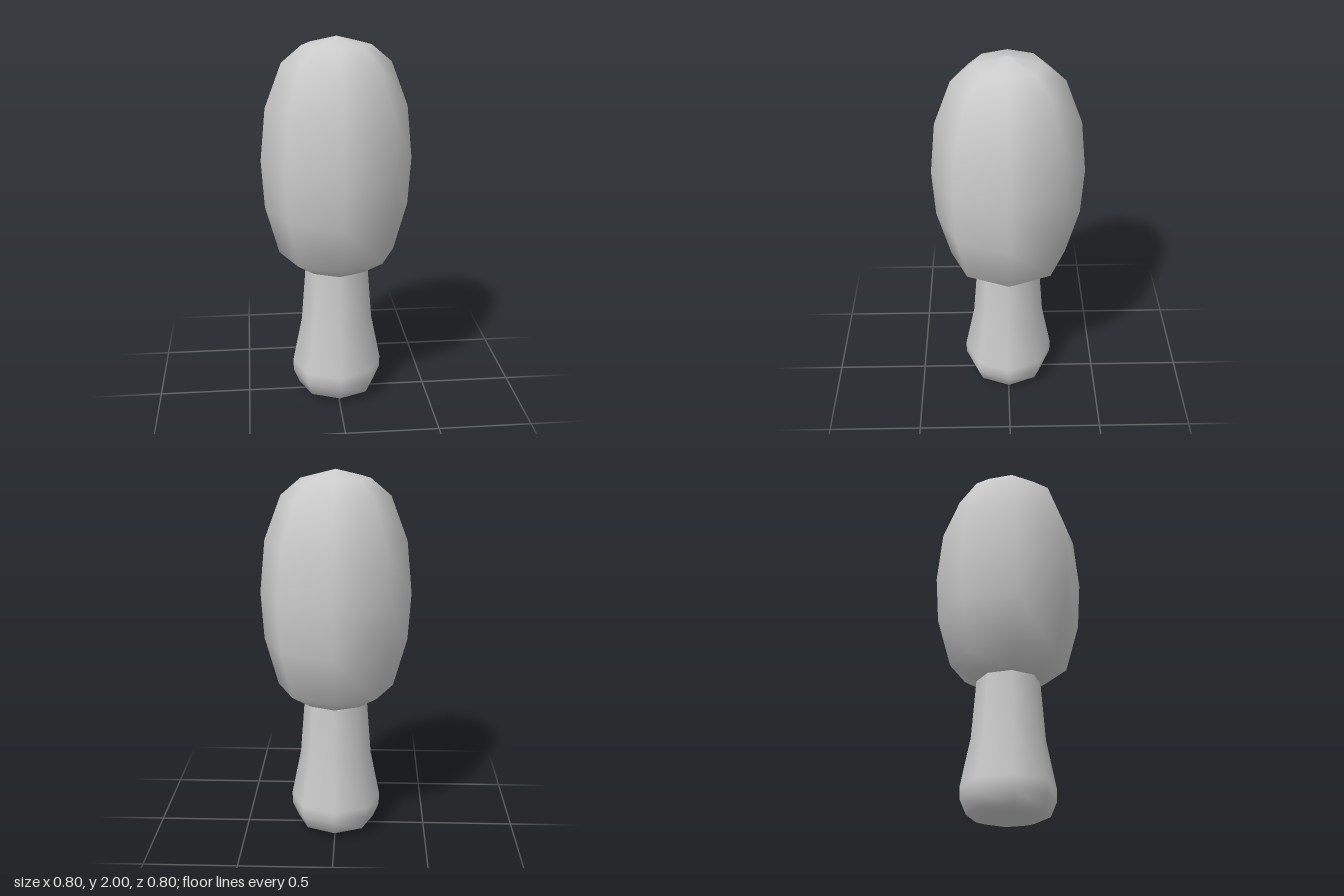
import * as THREE from 'three';

const SIDES = 8;

// Smooth eight-sided turned part; profile is [radius, height] from bottom to top
function turned(name, profile, material) {
  const points = profile.map(([r, y]) => new THREE.Vector2(r, y));
  const mesh = new THREE.Mesh(new THREE.LatheGeometry(points, SIDES), material);
  mesh.name = name;
  return mesh;
}

export function createModel() {
  const group = new THREE.Group();
  group.name = 'mallet';
  const material = new THREE.MeshStandardMaterial({ color: 0xcccccc });

  // Flared grip with a rounded butt, ending where it meets the head
  group.add(turned('handle', [
    [0, 0], [0.15, 0.02], [0.212, 0.04], [0.244, 0.115], [0.247, 0.18],
    [0.195, 0.44], [0.17, 0.76],
  ], material));

  // Elongated bulbous head
  group.add(turned('head', [
    [0.17, 0.755], [0.185, 0.758], [0.312, 0.84], [0.384, 1.1], [0.4, 1.355],
    [0.372, 1.635], [0.284, 1.867], [0.18, 1.955], [0, 2],
  ], material));

  return group;
}
